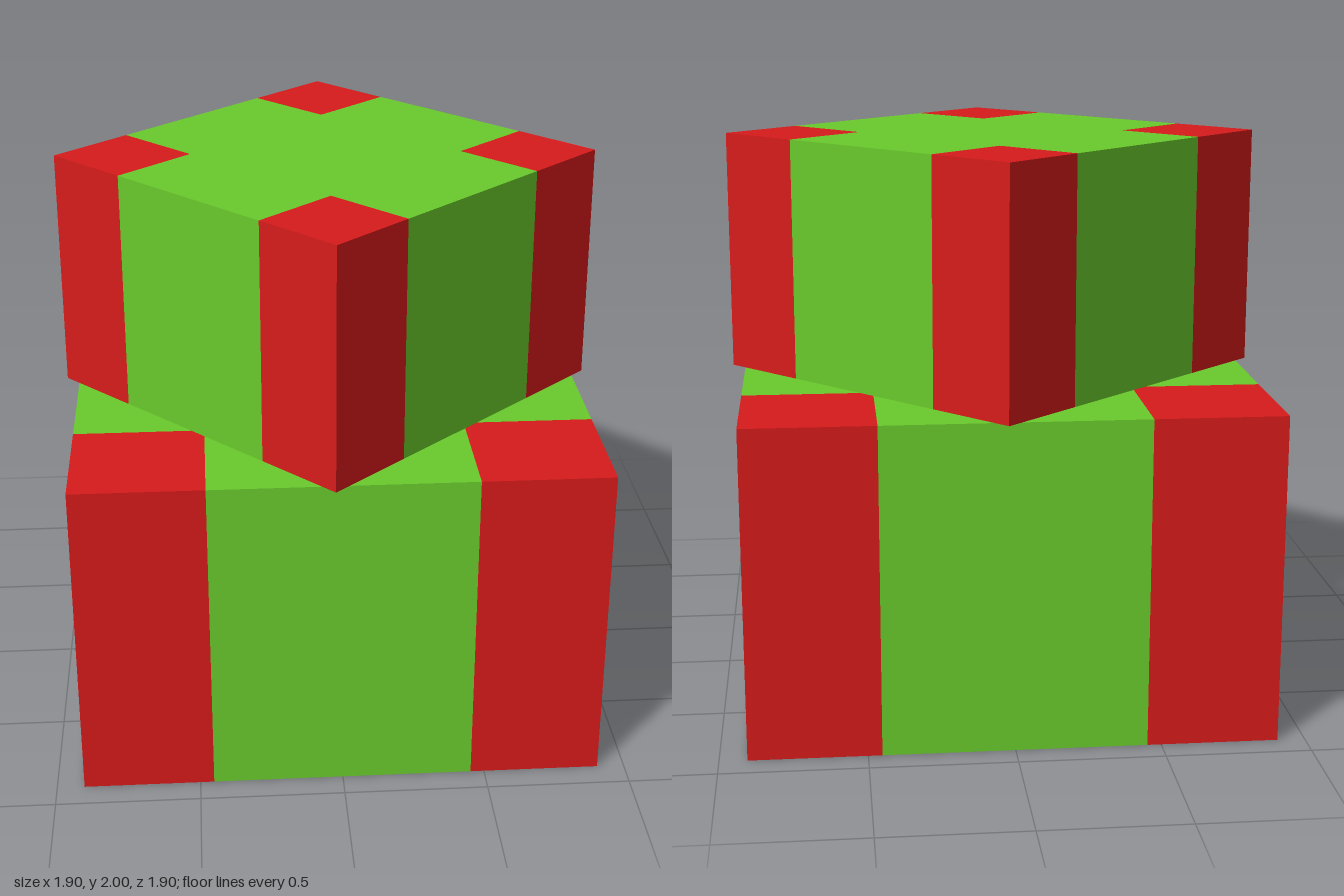
import * as THREE from 'three';

const red = new THREE.MeshStandardMaterial({ color: 0xd81b1b });
const green = new THREE.MeshStandardMaterial({ color: 0x6acb2c });

// Part of a box's surface: either the four corner quarters or the cross between them.
function boxSurface(width, height, corners) {
  const geometry = new THREE.BoxGeometry(width, height, width, 4, 1, 4);
  const position = geometry.attributes.position;
  const index = geometry.index.array;
  const kept = [];
  for (let i = 0; i < index.length; i += 3) {
    const tri = [index[i], index[i + 1], index[i + 2]];
    const x = tri.reduce((sum, v) => sum + position.getX(v), 0) / 3;
    const z = tri.reduce((sum, v) => sum + position.getZ(v), 0) / 3;
    const isCorner = Math.min(Math.abs(x), Math.abs(z)) > width / 4;
    if (isCorner === corners) kept.push(...tri);
  }
  geometry.setIndex(kept);
  geometry.clearGroups();
  return geometry;
}

// Green block with red corner columns, standing on the given height.
function createBlock(name, width, height, bottom, turn) {
  const block = new THREE.Group();
  block.name = name;
  const panels = new THREE.Mesh(boxSurface(width, height, false), green);
  panels.name = name + 'Panels';
  const columns = new THREE.Mesh(boxSurface(width, height, true), red);
  columns.name = name + 'CornerColumns';
  block.add(panels, columns);
  block.position.y = bottom + height / 2;
  block.rotation.y = turn;
  return block;
}

export function createModel() {
  const model = new THREE.Group();
  model.name = 'stackedBlocks';
  model.add(
    createBlock('lowerBlock', 1.81, 1.15, 0, 0),
    createBlock('upperBlock', 1.344, 0.85, 1.15, THREE.MathUtils.degToRad(43.2)),
  );
  return model;
}
